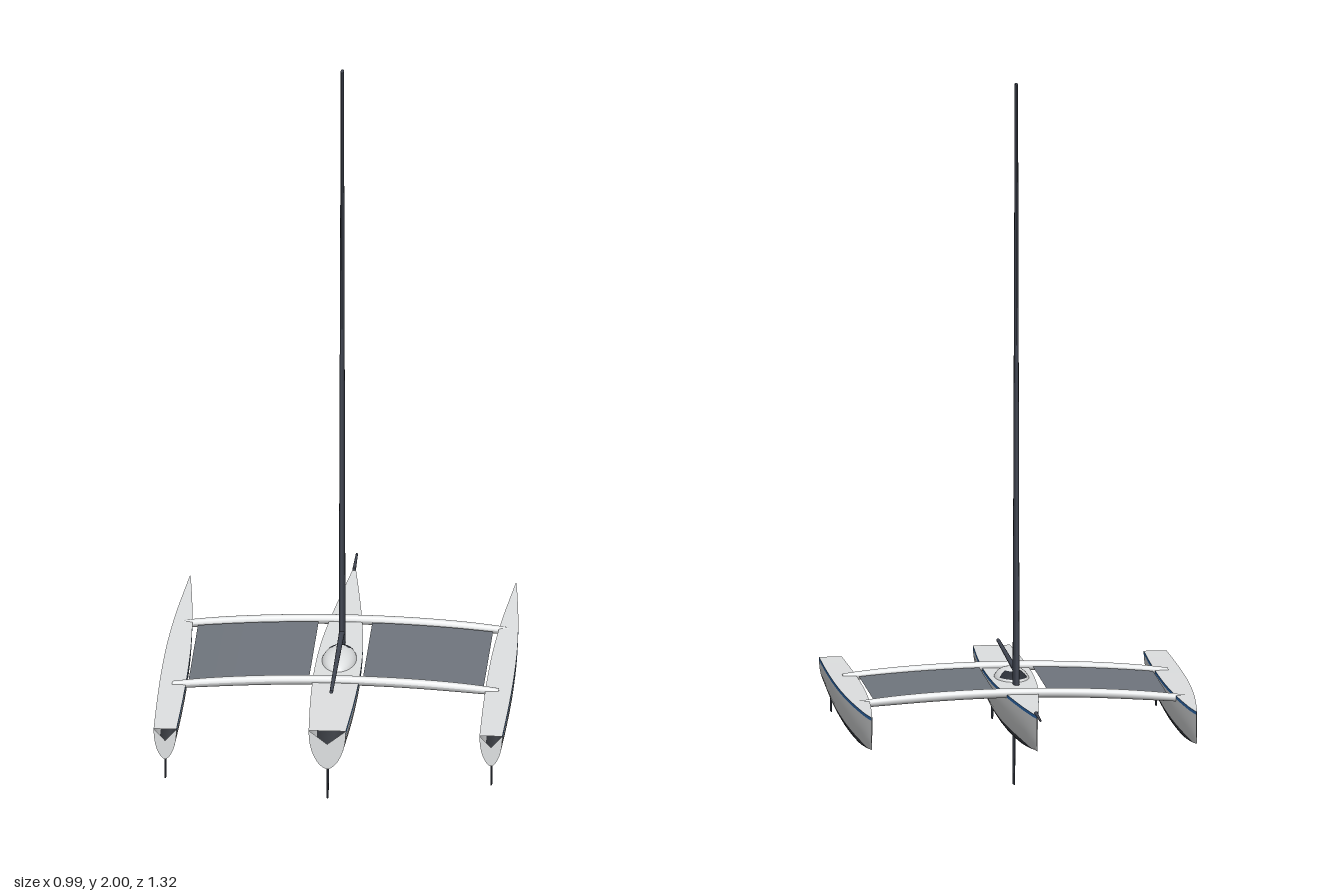
import * as THREE from 'three';

const mat = (name, color, side = THREE.FrontSide) => {
  const m = new THREE.MeshStandardMaterial({ color, side });
  m.name = name;
  return m;
};

export function createModel() {
  const model = new THREE.Group();
  model.name = 'trimaran';
  const white = mat('hullWhite', 0xdfe1e2, THREE.DoubleSide);
  const blue = mat('stripeBlue', 0x2f6db3, THREE.DoubleSide);
  const bottom = mat('bottomPaint', 0x3c3f45, THREE.DoubleSide);
  const carbon = mat('carbon', 0x434854);
  const net = mat('netGrey', 0x70767e, THREE.DoubleSide);
  const glass = mat('windowDark', 0x2c3038);

  const add = (name, geo, material, parent = model) => {
    const m = new THREE.Mesh(geo, material);
    m.name = name;
    parent.add(m);
    return m;
  };

  // Hull lofted from stations [half width, keel height, z], bow to stern
  function hull(name, x, stations, deckBow, deckStern, notch) {
    const WATER = 0.193, N = 40, TOP = 5, LOW = 7;
    const curve = new THREE.CatmullRomCurve3(stations.map(s => new THREE.Vector3(...s)));
    const pos = [], sections = [];
    for (let i = 0; i <= N; i++) {
      const p = curve.getPoint(i / N);
      const w = Math.max(p.x, 0.0008), keel = p.y;
      const deck = THREE.MathUtils.lerp(deckBow, deckStern, i / N);
      const water = Math.max(WATER, keel + 0.0005), edge = deck - 0.009;
      const ys = [deck];
      for (let k = 0; k <= TOP; k++) ys.push(THREE.MathUtils.lerp(edge, water, k / TOP));
      for (let k = 1; k <= LOW; k++) ys.push(keel + (water - keel) * (1 - k / LOW) ** 2);
      const half = ys.map(y => {
        const u = Math.min(1, (deck - y) / (deck - keel));
        return [w * Math.pow(1 - Math.pow(u, 2.2), 0.6), y];
      });
      const ring = [...half, ...half.slice(0, -1).reverse().map(([a, y]) => [-a, y])];
      ring.forEach(([a, y]) => pos.push(a, y, p.z));
      sections.push({ ring, z: p.z });
    }
    const M = sections[0].ring.length, bands = [[], [], []];
    for (let i = 0; i < N; i++) for (let j = 0; j < M - 1; j++) {
      const row = Math.min(j, M - 2 - j);
      const a = i * M + j, b = a + M;
      bands[row === 0 ? 0 : row <= TOP ? 1 : 2].push(a, b, a + 1, b, b + 1, a + 1);
    }
    const shell = new THREE.BufferGeometry();
    shell.setAttribute('position', new THREE.Float32BufferAttribute(pos, 3));
    shell.setIndex(bands.flat());
    let start = 0;
    bands.forEach((b, k) => { shell.addGroup(start, b.length, k); start += b.length; });
    shell.computeVertexNormals();

    const g = new THREE.Group();
    g.name = name;
    g.position.x = x;
    model.add(g);
    add('hullShell', shell, [blue, white, bottom], g);

    // Deck between the two sheer lines
    const dp = [], di = [];
    sections.forEach(({ ring, z }, i) => {
      dp.push(ring[0][0], ring[0][1], z, -ring[0][0], ring[0][1], z);
      if (i < N) di.push(2 * i, 2 * i + 1, 2 * i + 2, 2 * i + 1, 2 * i + 3, 2 * i + 2);
    });
    const deckGeo = new THREE.BufferGeometry();
    deckGeo.setAttribute('position', new THREE.Float32BufferAttribute(dp, 3));
    deckGeo.setIndex(di);
    deckGeo.computeVertexNormals();
    add('deck', deckGeo, white, g);

    // Transom with a V notch under the deck edge
    const last = sections[N];
    const outline = last.ring.map(([a, y]) => new THREE.Vector2(a, y));
    outline.push(new THREE.Vector2(0, last.ring[0][1] - notch));
    add('transom', new THREE.ShapeGeometry(new THREE.Shape(outline)), white, g)
      .position.z = last.z;
  }

  hull('mainHull', 0, [
    [0.001, 0.207, -0.578], [0.008, 0.201, -0.52], [0.022, 0.184, -0.4], [0.043, 0.161, -0.2],
    [0.059, 0.148, 0], [0.065, 0.145, 0.2], [0.062, 0.152, 0.42], [0.052, 0.17, 0.66],
  ], 0.309, 0.284, 0.04);
  for (const side of [-1, 1]) hull('floatHull', side * 0.456, [
    [0.001, 0.206, -0.497], [0.01, 0.192, -0.4], [0.025, 0.169, -0.2],
    [0.034, 0.158, 0], [0.037, 0.155, 0.2], [0.036, 0.161, 0.4], [0.032, 0.176, 0.625],
  ], 0.297, 0.266, 0.035);

  // Arched cross beams, slightly slimmer at the tips
  const archY = (x, z) => 0.298 - 0.024 * (x / 0.456) ** 2 - 0.015 * z;
  for (const [name, z] of [['forwardBeam', -0.174], ['aftBeam', 0.286]]) {
    const geo = new THREE.CylinderGeometry(0.0135, 0.0135, 0.914, 16, 28).rotateZ(Math.PI / 2);
    const p = geo.attributes.position;
    for (let i = 0; i < p.count; i++) {
      const x = p.getX(i), k = 1 - 0.25 * Math.abs(x / 0.457) ** 6;
      p.setXYZ(i, x, p.getY(i) * k + archY(x, z), p.getZ(i) * k + z);
    }
    geo.computeVertexNormals();
    add(name, geo, white);
  }

  // Trampoline nets following the beam arch
  for (const side of [-1, 1]) {
    const geo = new THREE.PlaneGeometry(0.338, 0.42, 10, 4).rotateX(-Math.PI / 2);
    geo.translate(side * 0.244, 0, 0.056);
    const p = geo.attributes.position;
    for (let i = 0; i < p.count; i++) p.setY(i, archY(p.getX(i), p.getZ(i)));
    geo.computeVertexNormals();
    add('trampoline', geo, net);
  }

  // Cabin dome with a wrapped forward window
  const cabin = new THREE.Group();
  cabin.name = 'cabin';
  cabin.position.set(0, 0.284, 0.118);
  model.add(cabin);
  add('cabinDome', new THREE.SphereGeometry(1, 32, 20).scale(0.05, 0.037, 0.1), white, cabin);
  add('cabinWindow', new THREE.SphereGeometry(1, 20, 8, Math.PI * 1.5 - 1, 2, 0.52, 0.6)
    .scale(0.051, 0.0378, 0.102), glass, cabin);

  // Tapered foil: elliptical section, given top and bottom half chords
  function foil(name, x, y0, y1, z0, z1, c0, c1, thick) {
    const h = y1 - y0;
    const geo = new THREE.CylinderGeometry(c1, c0, h, 20, 1).scale(thick, 1, 1);
    const p = geo.attributes.position;
    for (let i = 0; i < p.count; i++) {
      const t = p.getY(i) / h + 0.5;
      p.setZ(i, p.getZ(i) + THREE.MathUtils.lerp(z0, z1, t));
    }
    geo.translate(x, (y0 + y1) / 2, 0);
    return add(name, geo, carbon);
  }
  foil('wingMast', 0, 0.295, 2, -0.005, -0.013, 0.029, 0.014, 0.32);
  foil('daggerboard', 0, 0, 0.2, 0.058, 0.052, 0.018, 0.024, 0.18);
  foil('mainRudder', 0, 0.08, 0.22, 0.641, 0.635, 0.014, 0.021, 0.2);
  for (const side of [-1, 1])
    foil('floatRudder', side * 0.456, 0.115, 0.21, 0.604, 0.6, 0.012, 0.017, 0.2);

  // Boom and bowsprit
  const spar = (name, y, zBow, zStern, rBow, rStern) =>
    add(name, new THREE.CylinderGeometry(rStern, rBow, zStern - zBow, 14).rotateX(Math.PI / 2), carbon)
      .position.set(0, y, (zBow + zStern) / 2);
  spar('boom', 0.331, 0, 0.478, 0.008, 0.005);
  spar('bowsprit', 0.31, -0.662, -0.54, 0.003, 0.005);

  return model;
}
